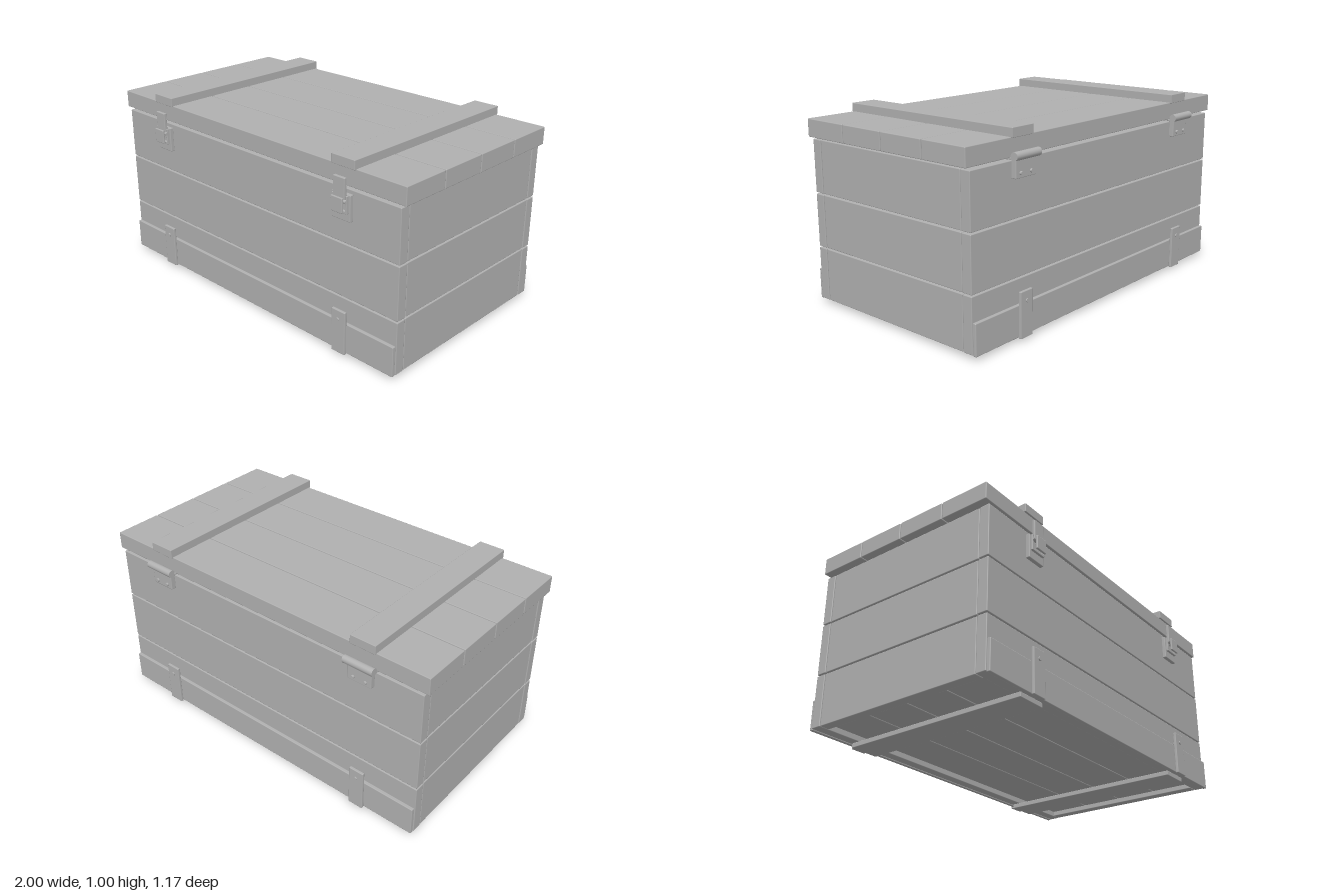
import * as THREE from 'three';
import { RoundedBoxGeometry } from 'three/addons/geometries/RoundedBoxGeometry.js';

const grey = new THREE.MeshStandardMaterial({ color: 0xb0b0b0 });
grey.name = 'plain grey';

export function createModel() {
  const root = new THREE.Group();
  root.name = 'woodenCrate';

  const group = (name) => {
    const g = new THREE.Group();
    g.name = name;
    root.add(g);
    return g;
  };

  // Box given by its limits on each axis, with slightly eased edges
  const box = (parent, name, [x0, x1], [y0, y1], [z0, z1], ease = 0.004) => {
    const w = x1 - x0, h = y1 - y0, d = z1 - z0;
    const geo = ease ? new RoundedBoxGeometry(w, h, d, 1, ease) : new THREE.BoxGeometry(w, h, d);
    const mesh = new THREE.Mesh(geo, grey);
    mesh.name = name;
    mesh.position.set((x0 + x1) / 2, (y0 + y1) / 2, (z0 + z1) / 2);
    parent.add(mesh);
    return mesh;
  };

  // Round bar along one axis
  const bar = (parent, name, r, length, axis, x, y, z) => {
    const geo = new THREE.CylinderGeometry(r, r, length, 16);
    if (axis === 'x') geo.rotateZ(Math.PI / 2);
    if (axis === 'z') geo.rotateX(Math.PI / 2);
    const mesh = new THREE.Mesh(geo, grey);
    mesh.name = name;
    mesh.position.set(x, y, z);
    parent.add(mesh);
  };

  // Span mirrored to the negative side when s is -1
  const side = (s, a, b) => (s > 0 ? [a, b] : [-b, -a]);

  // Walls: three rows of planks
  const walls = group('walls');
  for (const row of [[0.025, 0.297], [0.304, 0.576], [0.583, 0.853]]) {
    for (const s of [1, -1]) {
      box(walls, s > 0 ? 'frontPlank' : 'backPlank', [-0.975, 0.975], row, side(s, 0.478, 0.533));
      box(walls, 'endPlank', side(s, 0.92, 0.973), row, [-0.475, 0.475]);
    }
  }

  // Recessed floor and lid, four long planks each
  const floor = group('floor');
  const lid = group('lid');
  for (let i = 0; i < 4; i++) {
    const f = -0.475 + i * 0.2375;
    box(floor, 'floorPlank', [-0.92, 0.92], [0.05, 0.09], [f + 0.002, f + 0.2355]);
    const z = -0.536 + i * 0.268;
    box(lid, 'lidPlank', [-1, 1], [0.866, 0.957], [z + 0.002, z + 0.266]);
  }

  // Skirting boards along front and back
  const skirting = group('skirting');
  for (const s of [1, -1]) {
    box(skirting, 'skirtingBoard', [-0.97, 0.97], [0.02, 0.177], side(s, 0.531, 0.551));
  }

  for (const x of [-0.648, 0.648]) {
    // Cross battens above the lid and runners beneath the floor
    box(lid, 'lidBatten', [x - 0.071, x + 0.071], [0.953, 1], [-0.543, 0.543], 0.003);
    box(floor, 'runner', [x - 0.08, x + 0.08], [0, 0.025], [-0.522, 0.522], 0.003);

    // Riveted straps over the skirting
    for (const s of [1, -1]) {
      const strap = group('strap');
      box(strap, 'strapPlate', [x - 0.042, x + 0.042], [0.015, 0.244], side(s, 0.551, 0.567));
      bar(strap, 'strapRivet', 0.01, 0.04, 'z', x, 0.196, s * 0.553);
    }

    // Front latch: backplate, hasp, loop and lever
    const latch = group('latch');
    box(latch, 'latchBackplate', [x - 0.056, x + 0.056], [0.703, 0.834], [0.531, 0.553]);
    box(latch, 'hasp', [x - 0.035, x + 0.035], [0.8, 0.915], [0.553, 0.57]);
    box(latch, 'lever', [x - 0.035, x + 0.035], [0.75, 0.824], [0.573, 0.585]);
    bar(latch, 'latchPin', 0.009, 0.09, 'x', x, 0.804, 0.565);
    for (const s of [1, -1]) {
      const lx = x + s * 0.041;
      box(latch, 'loopSide', [lx - 0.005, lx + 0.005], [0.748, 0.83], [0.551, 0.565], 0.002);
    }
    box(latch, 'loopFoot', [x - 0.046, x + 0.046], [0.745, 0.757], [0.551, 0.565], 0.002);
    bar(latch, 'leverPivot', 0.008, 0.045, 'z', x, 0.8, 0.557);

    // Back hinge: leaf, knuckle and screws
    const hinge = group('hinge');
    box(hinge, 'hingeLeaf', [x - 0.067, x + 0.067], [0.772, 0.868], [-0.56, -0.531]);
    bar(hinge, 'hingeKnuckle', 0.02, 0.166, 'x', x, 0.876, -0.563);
    box(hinge, 'hingeTopLeaf', [x - 0.08, x + 0.08], [0.858, 0.868], [-0.563, -0.5], 0.002);
    for (const s of [1, -1]) {
      bar(hinge, 'hingeScrew', 0.009, 0.03, 'z', x + s * 0.035, 0.796, -0.555);
    }
  }

  return root;
}
